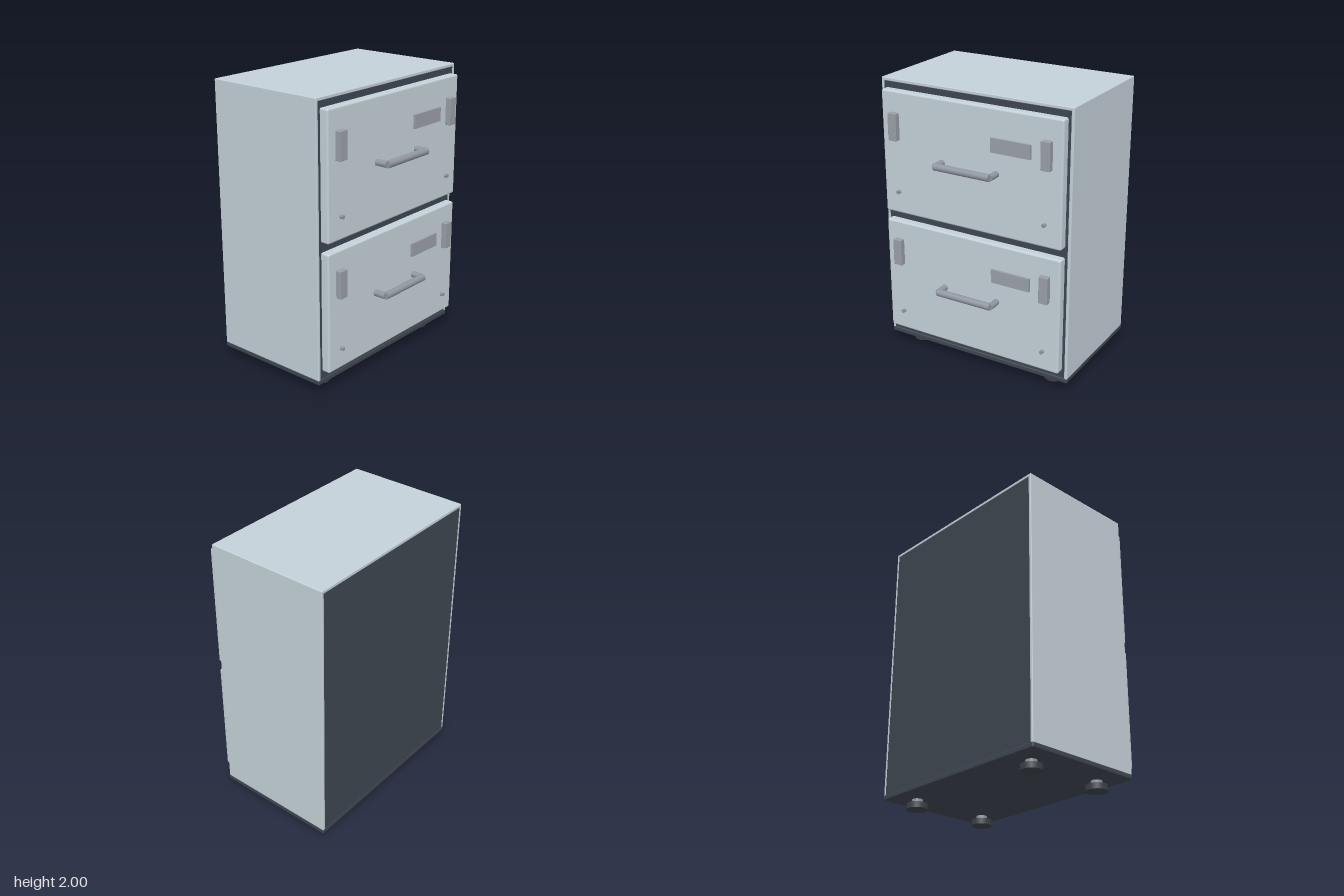
import * as THREE from 'three';
import { RoundedBoxGeometry } from 'three/addons/geometries/RoundedBoxGeometry.js';

function material(name, color) {
  const m = new THREE.MeshStandardMaterial({ color });
  m.name = name;
  return m;
}

export function createModel() {
  const model = new THREE.Group();
  model.name = 'drawerCabinet';
  const light = material('pale grey paint', 0xc4d1d8);
  const dark = material('dark slate', 0x3f4651);
  const metal = material('brushed metal', 0x9096a0);
  const tagGrey = material('tag grey', 0x9a9fa7);
  const rubber = material('foot rubber', 0x3b414a);

  const add = (parent, name, geometry, mat, x = 0, y = 0, z = 0) => {
    const mesh = new THREE.Mesh(geometry, mat);
    mesh.name = name;
    mesh.position.set(x, y, z);
    parent.add(mesh);
    return mesh;
  };
  // box given by its limits, with softly rounded edges when r > 0
  const box = (parent, name, mat, [x0, x1], [y0, y1], [z0, z1], r = 0) => {
    const size = [x1 - x0, y1 - y0, z1 - z0];
    const geo = r ? new RoundedBoxGeometry(...size, 2, r) : new THREE.BoxGeometry(...size);
    return add(parent, name, geo, mat, (x0 + x1) / 2, (y0 + y1) / 2, (z0 + z1) / 2);
  };
  const rod = (parent, name, mat, r, length, x, y, z, axis) => {
    const mesh = add(parent, name, new THREE.CylinderGeometry(r, r, length, 24), mat, x, y, z);
    if (axis === 'x') mesh.rotation.z = Math.PI / 2;
    if (axis === 'z') mesh.rotation.x = Math.PI / 2;
    return mesh;
  };

  // Cabinet: dark core inside a pale shell, standing on a dark plinth
  box(model, 'core', dark, [-0.702, 0.702], [0.09, 1.978], [-0.527, 0.352]);
  box(model, 'topPanel', light, [-0.722, 0.722], [1.976, 2], [-0.528, 0.355], 0.006);
  for (const s of [-1, 1]) {
    const xs = [s * 0.7, s * 0.722].sort((a, b) => a - b);
    box(model, 'sidePanel', light, xs, [0.1, 1.995], [-0.528, 0.355], 0.006);
  }
  box(model, 'plinth', dark, [-0.724, 0.724], [0.07, 0.108], [-0.53, 0.358], 0.01);

  // Drawers with their fittings
  const drawers = [
    { name: 'upperDrawer', y0: 1.068, y1: 1.935, handle: 1.5, tag: [1.6, 1.79], label: [1.645, 1.742], screw: 1.227 },
    { name: 'lowerDrawer', y0: 0.163, y1: 1.002, handle: 0.583, tag: [0.683, 0.873], label: [0.728, 0.823], screw: 0.308 },
  ];
  for (const d of drawers) {
    const drawer = new THREE.Group();
    drawer.name = d.name;
    model.add(drawer);
    box(drawer, 'drawerFront', light, [-0.684, 0.684], [d.y0, d.y1], [0.345, 0.415], 0.014);
    box(drawer, 'labelPlate', tagGrey, [0.174, 0.463], d.label, [0.405, 0.432]);
    for (const s of [-1, 1]) {
      const xs = [s * 0.546, s * 0.612].sort((a, b) => a - b);
      box(drawer, 'cornerTag', tagGrey, xs, d.tag, [0.405, 0.454], 0.003);
      rod(drawer, 'screw', metal, 0.013, 0.03, s * 0.565, d.screw, 0.424, 'z');
      rod(drawer, 'handlePost', metal, 0.022, 0.09, s * 0.208, d.handle, 0.455, 'z');
    }
    rod(drawer, 'handleBar', metal, 0.025, 0.42, 0, d.handle, 0.501, 'x');
  }

  // Four levelling feet
  for (const x of [-0.55, 0.55]) {
    for (const z of [0.207, -0.373]) {
      const foot = new THREE.Group();
      foot.name = 'foot';
      foot.position.set(x, 0, z);
      model.add(foot);
      rod(foot, 'footPad', rubber, 0.073, 0.04, 0, 0.02, 0);
      rod(foot, 'footStem', metal, 0.038, 0.04, 0, 0.056, 0);
    }
  }
  return model;
}
